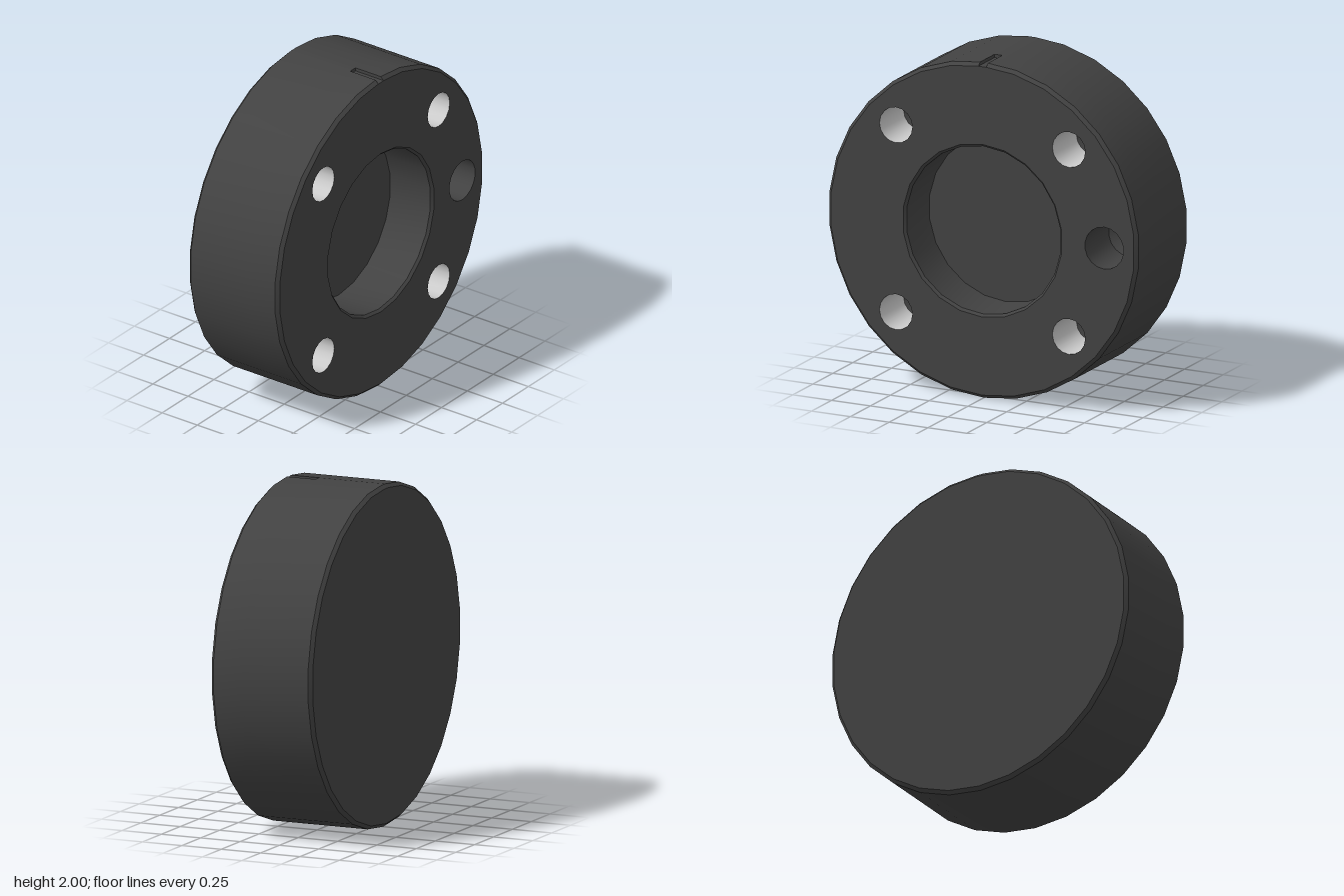
import * as THREE from 'three';
import { toCreasedNormals } from 'three/addons/utils/BufferGeometryUtils.js';

const HALF = 0.32, BEVEL = 0.02, SIDES = 30;
const dark = new THREE.MeshStandardMaterial({ color: 0x424242 });
const light = new THREE.MeshStandardMaterial({ color: 0xcccccc });

// Outer polygon as [y, z], with a slot cut into the top vertex down to height "floor"
function outline(r, floor = Infinity) {
  const w = 0.025, h = r - w * Math.tan(Math.PI / SIDES), f = Math.min(h, floor);
  const pts = [[h, -w], [f, -w], [f, w], [h, w]];
  for (let i = 1; i < SIDES; i++) {
    const a = (i / SIDES) * Math.PI * 2;
    pts.push([r * Math.cos(a), r * Math.sin(a)]);
  }
  return pts;
}

// Skin joining the outlines along x
function barrelGeometry() {
  const floor = 0.978;
  const rings = [
    [-HALF, outline(1 - BEVEL)], [-HALF + BEVEL, outline(1)],
    [0.12, outline(1)], [0.12, outline(1, floor)],
    [HALF - BEVEL, outline(1, floor)], [HALF, outline(1 - BEVEL)],
  ];
  const pos = [], idx = [], n = rings[0][1].length;
  rings.forEach(([x, pts], i) => pts.forEach(([y, z], j) => {
    pos.push(x, y, z);
    if (i === rings.length - 1) return;
    const a = i * n + j, b = i * n + (j + 1) % n;
    idx.push(a, b, a + n, b, b + n, a + n);
  }));
  const g = new THREE.BufferGeometry();
  g.setAttribute('position', new THREE.Float32BufferAttribute(pos, 3));
  g.setIndex(idx);
  return toCreasedNormals(g, 0.5);
}

// Flat end face; holes are [z, y, radius, sides]
function faceGeometry(holes, dir) {
  const shape = new THREE.Shape(outline(1 - BEVEL).map(([y, z]) => new THREE.Vector2(-z * dir, y)));
  for (const [z, y, r, n] of holes) {
    const pts = [];
    for (let i = 0; i < n; i++) {
      const a = (i / n) * Math.PI * 2;
      pts.push(new THREE.Vector2(-z * dir + r * Math.sin(a), y + r * Math.cos(a)));
    }
    shape.holes.push(new THREE.Path(pts));
  }
  return new THREE.ShapeGeometry(shape).rotateY(dir * Math.PI / 2).translate(dir * HALF, 0, 0);
}

// Inward-facing turned surface about x, listed from the rim to the bottom
function recess(profile, sides, z, y) {
  const pts = profile.map(([r, x]) => new THREE.Vector2(r, x));
  const g = new THREE.LatheGeometry(pts, sides, -Math.PI / 2);
  return toCreasedNormals(g.rotateZ(-Math.PI / 2).translate(0, y, z), 0.5);
}

export function createModel() {
  const model = new THREE.Group();
  const body = new THREE.Group();
  body.position.y = 1;
  model.add(body);
  const add = (name, geometry, material = dark) => {
    const mesh = new THREE.Mesh(geometry, material);
    mesh.name = name;
    body.add(mesh);
  };

  const bolts = [];
  for (const z of [-0.557, 0.557]) for (const y of [-0.557, 0.557]) bolts.push([z, y, 0.106, 16]);
  const port = [-0.785, 0, 0.125, 18];
  const bore = [0, 0, 0.515, 22];

  add('slottedBarrel', barrelGeometry());
  add('frontFace', faceGeometry([bore, port, ...bolts], 1));
  add('backFace', faceGeometry([], -1));

  // Central blind bore with a small chamfer
  add('centreBore', recess([[0.515, HALF], [0.5, HALF - 0.015], [0.5, 0.02], [0, 0.02]], 22, 0, 0));

  // Drilled holes with conical bottoms
  const drill = (name, [z, y, r, n], end, wall) => {
    add(name + 'Wall', recess([[r, HALF], [r, end]], n, z, y), wall);
    add(name + 'Tip', recess([[r, end], [0, end - r * 0.6]], n, z, y));
  };
  bolts.forEach((b) => drill('boltHole', b, 0.02, light));
  drill('portHole', port, 0.02, dark);

  return model;
}
